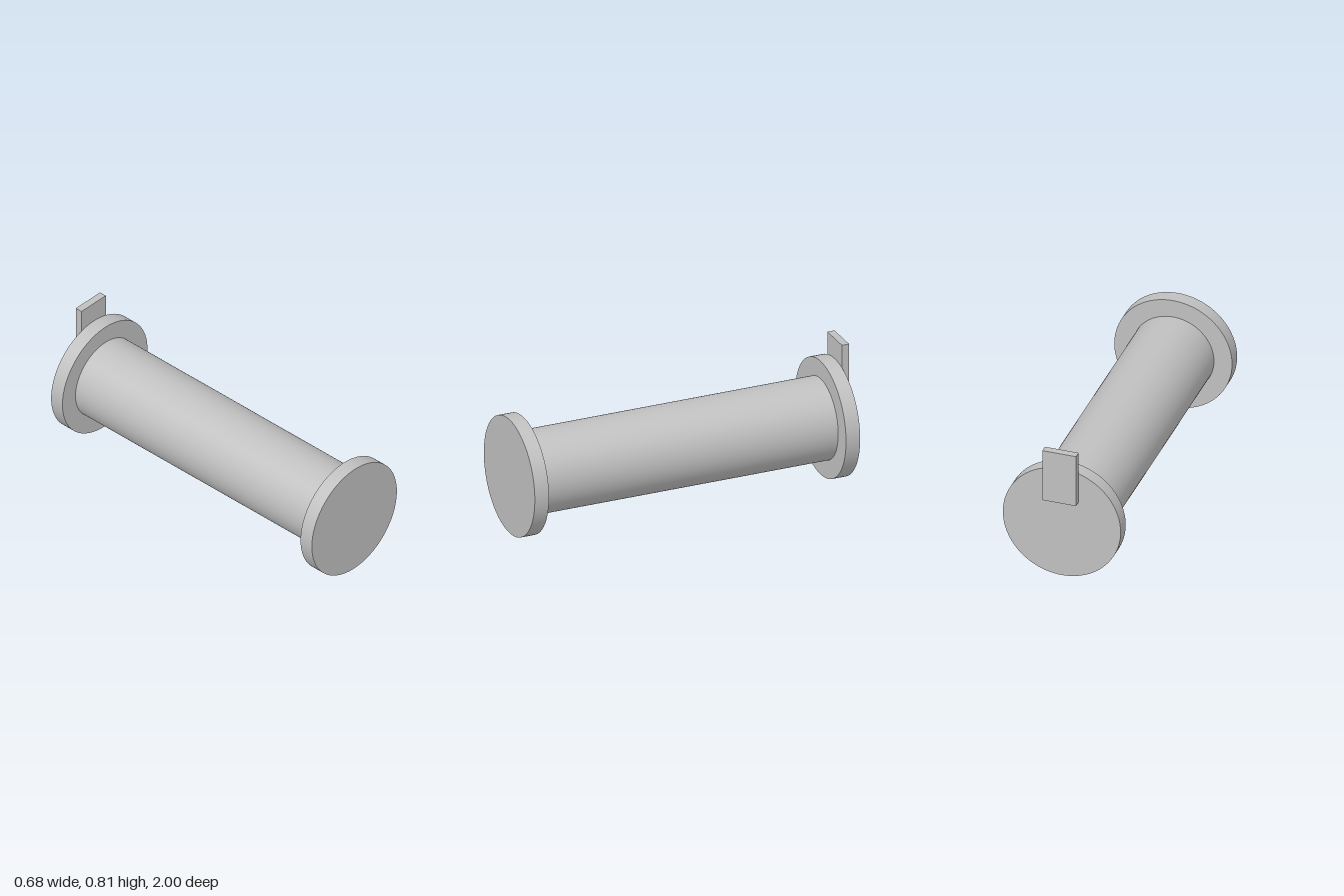
import * as THREE from 'three';

export function createModel() {
  const model = new THREE.Group();
  model.name = 'flangedSpool';
  const grey = new THREE.MeshStandardMaterial({ color: 0xc0c0c0 });
  grey.name = 'plain grey';

  const axisY = 0.342;

  // Solid disc or cylinder lying along z between two depths
  function roundPart(name, radius, zBack, zFront) {
    const geometry = new THREE.CylinderGeometry(radius, radius, zFront - zBack, 96);
    geometry.rotateX(Math.PI / 2);
    const mesh = new THREE.Mesh(geometry, grey);
    mesh.name = name;
    mesh.position.set(0, axisY, (zBack + zFront) / 2);
    model.add(mesh);
  }

  roundPart('barrel', 0.237, -0.872, 0.915);
  roundPart('frontFlange', 0.342, 0.915, 1);
  roundPart('backFlange', 0.342, -0.957, -0.872);

  // Upright tab fixed to the outside of the back flange
  const tab = new THREE.Mesh(new THREE.BoxGeometry(0.195, 0.318, 0.043), grey);
  tab.name = 'backTab';
  tab.position.set(0, 0.646, -0.9785);
  model.add(tab);

  return model;
}
